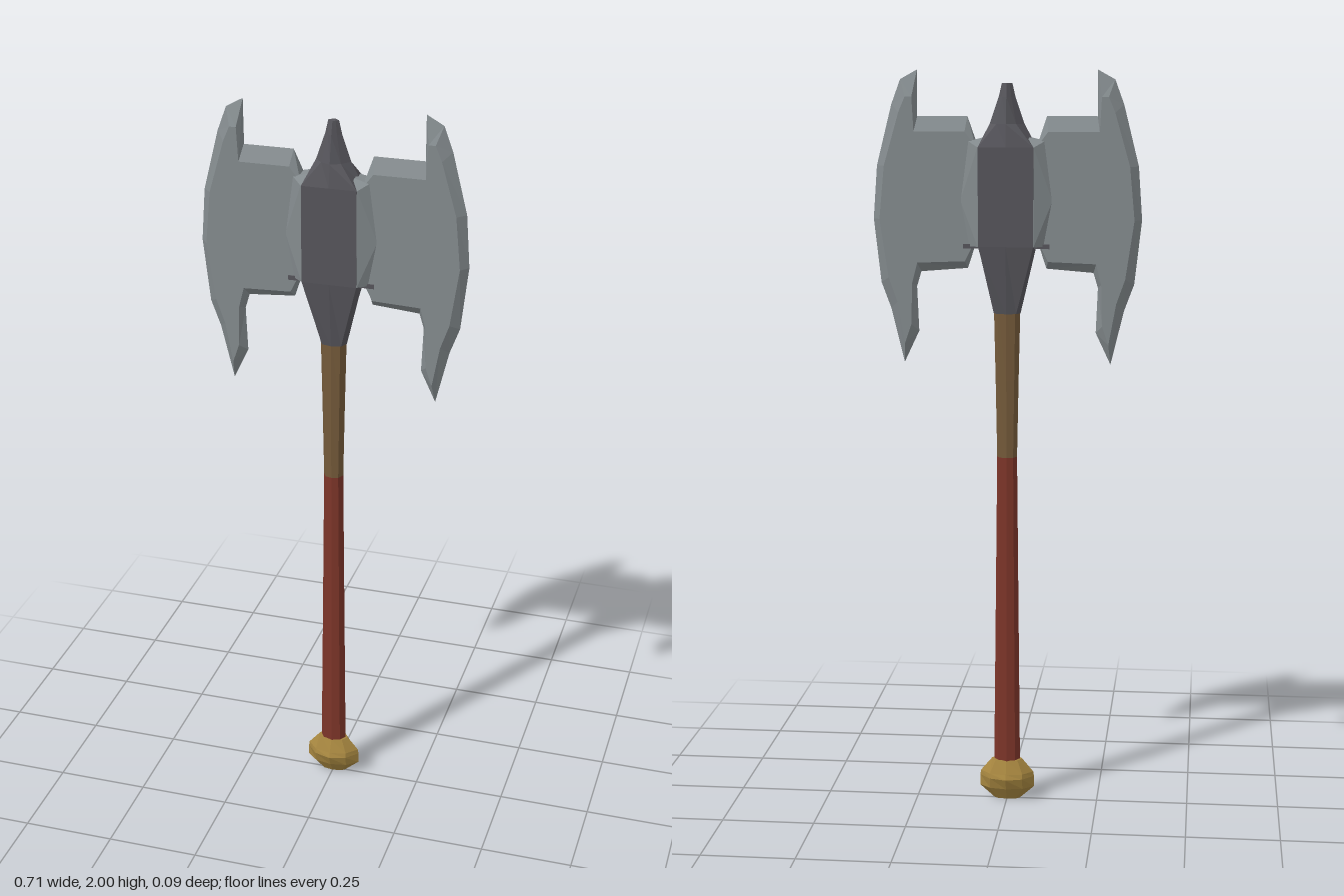
import * as THREE from 'three';
import { ConvexGeometry } from 'three/addons/geometries/ConvexGeometry.js';

const paint = (name, color) => new THREE.MeshStandardMaterial({ name, color, flatShading: true });

// Flat-shaded geometry from a list of corner triples
function facets(tris) {
  const g = new THREE.BufferGeometry();
  g.setAttribute('position', new THREE.Float32BufferAttribute(tris.flat(2), 3));
  g.computeVertexNormals();
  return g;
}

// Skin over eight-cornered sections stacked along y.
// Section: [y, side x, corner x, corner z, middle z]
function loft(sections) {
  const rings = sections.map(([y, sx, cx, cz, mz]) => [
    [sx, y, 0], [cx, y, cz], [0, y, mz], [-cx, y, cz],
    [-sx, y, 0], [-cx, y, -cz], [0, y, -mz], [cx, y, -cz],
  ]);
  const tris = [];
  for (let r = 0; r + 1 < rings.length; r++) {
    for (let i = 0; i < 8; i++) {
      const j = (i + 1) % 8, a = rings[r], b = rings[r + 1];
      tris.push([a[i], b[j], a[j]], [a[i], b[i], b[j]]);
    }
  }
  const low = rings[0], high = rings[rings.length - 1];
  for (let i = 1; i < 7; i++) {
    tris.push([low[0], low[i], low[i + 1]], [high[0], high[i + 1], high[i]]);
  }
  return facets(tris);
}

// Blade: sharp rim at z = 0, flat cheeks inside it at z = +-t
function bladeGeometry(t) {
  // [rim x, rim y, cheek x, cheek y], counter-clockwise
  const outline = [
    [0.05, 1.54, 0.05, 1.56], [0.085, 1.54, 0.08, 1.56], [0.105, 1.48, 0.11, 1.5],
    [0.23, 1.47, 0.238, 1.495], [0.242, 1.43, 0.252, 1.44], [0.237, 1.31, 0.255, 1.33],
    [0.277, 1.225, 0.272, 1.28], [0.312, 1.37, 0.292, 1.39], [0.338, 1.44, 0.315, 1.455],
    [0.357, 1.61, 0.338, 1.61], [0.347, 1.75, 0.325, 1.75], [0.307, 1.91, 0.285, 1.89],
    [0.283, 1.975, 0.268, 1.93], [0.238, 2.0, 0.25, 1.93], [0.238, 1.88, 0.245, 1.84],
    [0.105, 1.88, 0.11, 1.84], [0.085, 1.82, 0.08, 1.8], [0.05, 1.82, 0.05, 1.8],
  ];
  const rim = outline.map(([x, y]) => [x, y, 0]);
  const front = outline.map(([, , x, y]) => [x, y, t]);
  const back = outline.map(([, , x, y]) => [x, y, -t]);
  const tris = [];
  const flat = outline.map(([, , x, y]) => new THREE.Vector2(x, y));
  for (const [a, b, c] of THREE.ShapeUtils.triangulateShape(flat, [])) {
    tris.push([front[a], front[b], front[c]], [back[a], back[c], back[b]]);
  }
  rim.forEach((p, i) => {
    const j = (i + 1) % rim.length;
    tris.push([p, rim[j], front[j]], [p, front[j], front[i]]);
    tris.push([p, back[j], rim[j]], [p, back[i], back[j]]);
  });
  return facets(tris);
}

export function createModel() {
  const steel = paint('blade steel', 0x848b8e);
  const iron = paint('dark iron', 0x56555b);
  const wood = paint('brown wood', 0x745a3a);
  const leather = paint('red leather', 0x7d3529);
  const brass = paint('brass', 0xa5853f);

  const model = new THREE.Group();
  model.name = 'doubleAxe';
  const add = (name, geometry, material) => {
    const mesh = new THREE.Mesh(geometry, material);
    mesh.name = name;
    model.add(mesh);
    return mesh;
  };

  // Pommel
  add('pommel', loft([
    [0, 0.035, 0.025, 0.008, 0.012],
    [0.035, 0.075, 0.045, 0.026, 0.034],
    [0.065, 0.075, 0.045, 0.034, 0.047],
    [0.078, 0.073, 0.045, 0.03, 0.04],
    [0.115, 0.042, 0.03, 0.018, 0.022],
  ]), brass);

  // Handle
  add('grip', loft([
    [0.1, 0.036, 0.024, 0.018, 0.023],
    [0.97, 0.027, 0.018, 0.018, 0.023],
  ]), leather);
  add('shaft', loft([
    [0.97, 0.027, 0.018, 0.018, 0.023],
    [1.18, 0.031, 0.021, 0.019, 0.024],
    [1.4, 0.036, 0.024, 0.02, 0.025],
  ]), wood);

  // Head core with top spike
  add('headCore', loft([
    [1.36, 0.036, 0.026, 0.02, 0.026],
    [1.54, 0.078, 0.073, 0.045, 0.045],
    [1.8, 0.078, 0.073, 0.045, 0.045],
    [1.86, 0.046, 0.026, 0.024, 0.036],
    [1.93, 0.022, 0.012, 0.012, 0.022],
    [1.965, 0.014, 0.007, 0.006, 0.011],
  ]), iron);

  // Blades and the wedge-shaped cheeks that join them to the core
  const blade = bladeGeometry(0.024);
  const wedgePoints = [];
  for (const s of [1, -1]) {
    for (const [x, y, z] of [
      [0.05, 1.54, 0.044], [0.05, 1.8, 0.044], [0.074, 1.54, 0.044], [0.074, 1.8, 0.044],
      [0.098, 1.54, 0.024], [0.122, 1.66, 0.023], [0.1, 1.815, 0.024], [0.06, 1.825, 0.02],
    ]) wedgePoints.push(new THREE.Vector3(x, y, z * s));
  }
  const wedge = new ConvexGeometry(wedgePoints);
  for (const [side, turn] of [['left', 0], ['right', Math.PI]]) {
    add(side + 'Blade', blade, steel).rotation.y = turn;
    add(side + 'Cheek', wedge, steel).rotation.y = turn;
    // Dark lug under each cheek
    const lug = add(side + 'Lug', new THREE.BoxGeometry(0.06, 0.012, 0.052), iron);
    lug.position.set(turn ? -0.085 : 0.085, 1.54, 0);
  }
  return model;
}
